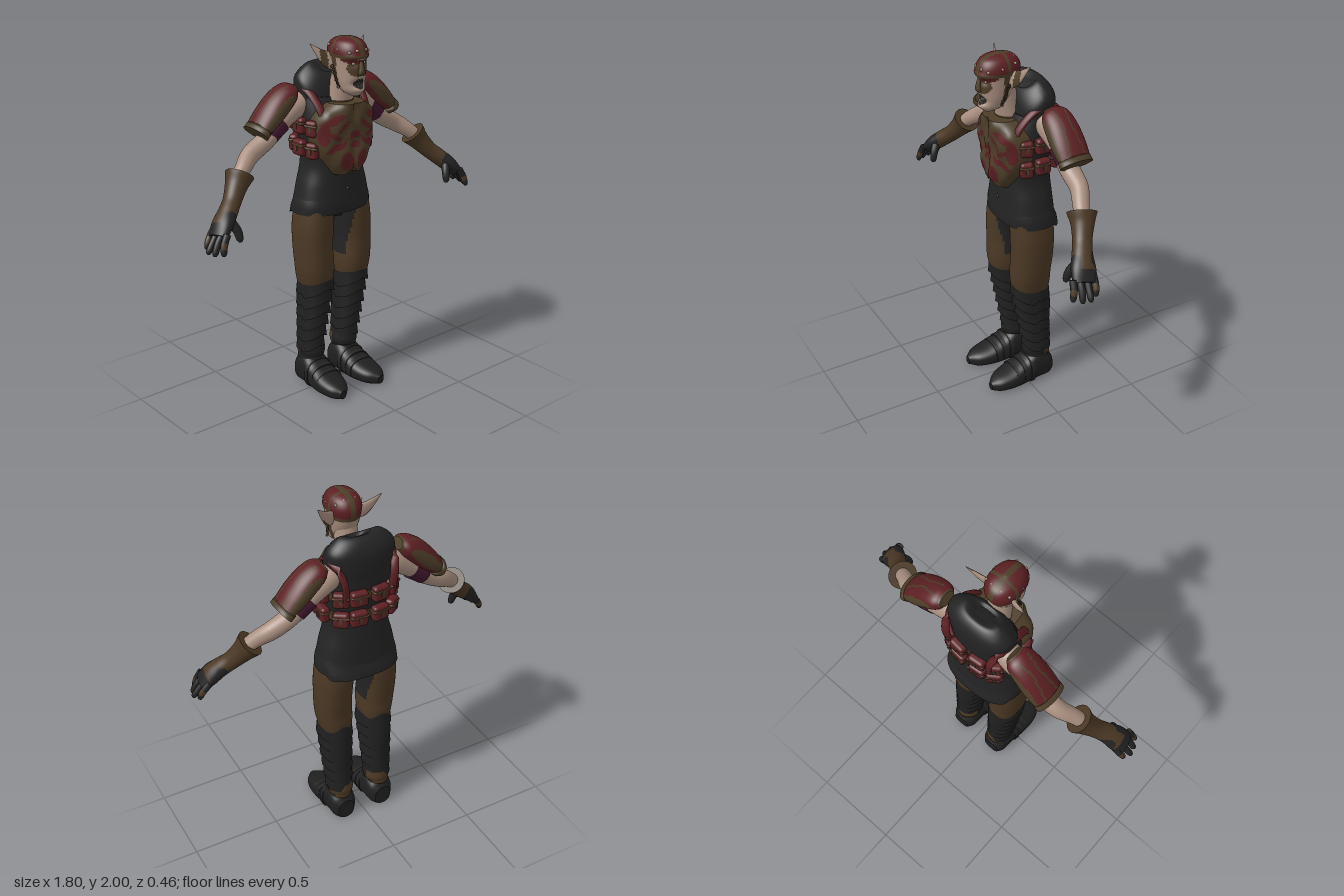
import * as THREE from 'three';
import { RoundedBoxGeometry } from 'three/addons/geometries/RoundedBoxGeometry.js';

const mat = (name, color) => Object.assign(new THREE.MeshStandardMaterial({ color }), { name });

// Smooth body through rings [x, y, z, sideRadius, depthRadius]; paint(p, t) picks a material index per face.
function loft(rings, { n = 32, steps = 24, exp = 2, axis, ref = [0, 0, 1], warp, paint = () => 0 } = {}) {
  const path = new THREE.CatmullRomCurve3(rings.map(r => new THREE.Vector3(r[0], r[1], r[2])), false, 'catmullrom');
  const size = new THREE.CatmullRomCurve3(rings.map(r => new THREE.Vector3(r[3], r[4], 0)), false, 'catmullrom');
  const pts = [], groups = [];
  const sup = v => Math.sign(v) * Math.abs(v) ** (2 / exp);
  for (let i = 0; i <= steps; i++) {
    const t = i / steps, c = path.getPoint(t), s = size.getPoint(t);
    const T = axis ? new THREE.Vector3(...axis) : path.getTangent(t);
    const D = new THREE.Vector3(...ref);
    D.addScaledVector(T, -D.dot(T)).normalize();
    const S = new THREE.Vector3().crossVectors(T, D);
    for (let j = 0; j < n; j++) {
      const a = j / n * Math.PI * 2;
      const p = c.clone().addScaledVector(S, sup(Math.cos(a)) * s.x).addScaledVector(D, sup(Math.sin(a)) * s.y);
      if (warp) warp(p, t);
      pts.push(p);
    }
  }
  const face = (t, ...ids) => {
    const mid = ids.reduce((m, k) => m.add(pts[k]), new THREE.Vector3()).divideScalar(ids.length);
    const list = groups[paint(mid, t)] ??= [];
    for (let k = 2; k < ids.length; k++) list.push(ids[0], ids[k - 1], ids[k]);
  };
  for (let i = 0; i < steps; i++) for (let j = 0; j < n; j++) {
    const a = i * n + j, b = i * n + (j + 1) % n;
    face((i + 0.5) / steps, a, a + n, b + n, b);
  }
  // end caps with their own rim, so that edges stay crisp
  for (const i of [0, steps]) {
    const rim = pts.slice(i * n, i * n + n), k = pts.length;
    const mid = rim.reduce((m, p) => m.add(p), new THREE.Vector3()).divideScalar(n);
    pts.push(...rim.map(p => p.clone()), mid);
    for (let j = 0; j < n; j++) {
      const q = (j + 1) % n;
      if (i) face(1, k + n, k + q, k + j); else face(0, k + n, k + j, k + q);
    }
  }
  const geo = new THREE.BufferGeometry().setFromPoints(pts);
  const index = [];
  groups.forEach((list, m) => { geo.addGroup(index.length, list.length, m); for (const v of list) index.push(v); });
  geo.setIndex(index);
  geo.computeVertexNormals();
  return geo;
}

// Mirrored copy across x = 0
function mirrored(geo) {
  const g = geo.clone();
  for (const key of ['position', 'normal']) {
    const at = g.attributes[key];
    for (let i = 0; i < at.count; i++) at.setX(i, -at.getX(i));
  }
  if (!g.index) g.setIndex([...Array(g.attributes.position.count).keys()]);
  const ix = g.index.array;
  for (let i = 0; i < ix.length; i += 3) [ix[i + 1], ix[i + 2]] = [ix[i + 2], ix[i + 1]];
  return g;
}

export function createModel() {
  const root = new THREE.Group();
  root.name = 'armouredFighter';
  const black = mat('blackCloth', 0x232323), boot = mat('bootLeather', 0x1f1f20);
  const brown = mat('brownLeather', 0x4b3824), trim = mat('bronzeTrim', 0x4d3d28);
  const red = mat('redArmour', 0x5c2023), skin = mat('skin', 0xa98f80);
  const purple = mat('purpleBand', 0x42172f), bone = mat('bone', 0xa8957c);
  const add = (name, geo, m) => {
    const mesh = new THREE.Mesh(geo, m);
    mesh.name = name;
    root.add(mesh);
  };
  const pair = (name, geo, m) => { add(name + 'Left', geo, m); add(name + 'Right', mirrored(geo), m); };
  const Y = [0, 1, 0];
  // inside a tilted ellipse
  const oval = (x, y, cx, cy, rx, ry, a = 0) => {
    const c = Math.cos(a), s = Math.sin(a), dx = x - cx, dy = y - cy;
    return ((dx * c + dy * s) / rx) ** 2 + ((dy * c - dx * s) / ry) ** 2 < 1;
  };

  // Shirt, skirt hem and hood
  add('skirt', loft([[0, 1.045, -.05, .232, .15], [0, 1.1, -.045, .226, .145], [0, 1.18, -.045, .2, .135]],
    { axis: Y, exp: 2.5, n: 48, steps: 8, warp: p => { if (p.z < -.12 && p.y < 1.1) { p.y -= .02; p.z -= .012; } } }), black);
  add('shirt', loft([[0, 1.13, -.045, .218, .148], [0, 1.2, -.045, .203, .14], [0, 1.3, -.045, .176, .135],
    [0, 1.4, -.04, .178, .135], [0, 1.5, -.045, .19, .138], [0, 1.6, -.06, .19, .13], [0, 1.68, -.075, .185, .115]],
    { axis: Y, exp: 2.4, n: 48, steps: 36, warp: (p, t) => { if (t < .17) p.y -= (1 - t / .17) * .035 * (1 - Math.abs(p.x) / .22); } }), black);
  add('hood', loft([[0, 1.62, -.075, .185, .115], [0, 1.7, -.08, .19, .115], [0, 1.77, -.08, .19, .11],
    [0, 1.82, -.075, .15, .09], [0, 1.845, -.07, .1, .06], [0, 1.82, -.06, .05, .03]],
    { axis: Y, exp: 2.4, n: 48, steps: 30, warp: p => { p.y -= Math.max(0, p.z + .08) * .7; } }), black);
  add('shirtButton', new THREE.SphereGeometry(.008, 10, 8).translate(0, 1.18, .098), brown);

  // Breastplate with red inlays
  const inlays = [[.05, 1.35, .036, .055, -.2], [.018, 1.49, .016, .022, .5], [.012, 1.435, .014, .022, .5],
    [.125, 1.575, .06, .02, -.45], [.075, 1.535, .05, .012, -.7], [.12, 1.49, .045, .013, .5],
    [.12, 1.425, .042, .018, -.6], [.165, 1.5, .022, .06, 0], [.07, 1.445, .034, .01, -.9]];
  add('breastplate', loft([[0, 1.27, .05, .09, .09], [0, 1.32, .045, .122, .112], [0, 1.39, .04, .165, .12],
    [0, 1.46, .035, .188, .118], [0, 1.55, .04, .19, .12], [0, 1.61, .05, .16, .11], [0, 1.655, .06, .1, .1]],
    { axis: Y, exp: 2.5, n: 120, steps: 80,
      warp: (p, t) => {
        if (t < .3) p.y += (1 - t / .3) * Math.max(0, .045 - Math.abs(p.x)) * .9;
        if (p.z > .08) p.z += .008 * Math.cos(p.x * 55) * Math.sin((p.y - 1.25) * 30) - .01 * (Math.abs(p.x) < .008);
      },
      paint: p => inlays.some(i => oval(Math.abs(p.x), p.y, ...i)) ? 1 : 0 }), [trim, red]);
  pair('shoulderStrap', loft([[.14, 1.52, .1, .022, .01], [.155, 1.63, .055, .022, .012], [.168, 1.715, -.03, .022, .012],
    [.168, 1.725, -.13, .022, .012], [.145, 1.64, -.195, .022, .012], [.13, 1.5, -.19, .022, .01]],
    { n: 12, steps: 30, ref: [.3, .7, .65] }), red);

  // Belts and pouches round the back and sides
  for (const y of [1.41, 1.53]) {
    add('belt', loft([[0, y - .022, -.042, .193, .143], [0, y + .022, -.042, .196, .145]], { axis: Y, exp: 2.4, n: 48, steps: 2 }), trim);
    for (const [x, z, turn, w] of [[.062, -.195, .1, .095], [.15, -.165, .6, .085], [.2, -.06, 1.57, .085], [.188, .03, 1.9, .07]]) {
      const place = g => g.rotateY(-turn + Math.PI).translate(x, y + (z > 0 ? -.005 : 0), z);
      pair('pouch', place(new RoundedBoxGeometry(w, .088, .05, 3, .018)), red);
      pair('pouchFlap', place(new RoundedBoxGeometry(w + .006, .014, .054, 2, .006).translate(0, .016, 0)), trim);
      pair('pouchBuckle', place(new THREE.BoxGeometry(.014, .03, .058)), trim);
    }
  }

  // Neck and head
  add('neck', loft([[0, 1.58, .02, .08, .07], [0, 1.68, .035, .068, .07], [0, 1.8, .06, .062, .065], [0, 1.86, .07, .06, .07]],
    { axis: Y, steps: 28, paint: p => p.y < 1.67 && p.z > 0 ? 1 : 0 }), [skin, brown]);
  const facePaint = p => {
    const x = Math.abs(p.x), { y, z } = p;
    if (y > 1.9 - (z < .05 ? .03 : 0)) {
      if (x < .016 || y < (z < .05 ? 1.885 : 1.912) || Math.abs(z - .07) < .008) return 2;
      return 1;
    }
    if (z > .12 && oval(x, y, 0, 1.766, .036, .026)) return 3;
    if (z > .11 && oval(x, y, .045, 1.885, .04, .014, .25)) return 1;
    if (z > .12 && oval(x, y, .02, 1.85, .046, .045)) return 2;
    if (Math.abs(z - .085) < .014 && y > 1.73) return 2;
    return 0;
  };
  add('head', loft([[0, 1.7, .145, .025, .03], [0, 1.725, .13, .056, .06], [0, 1.77, .115, .072, .08], [0, 1.82, .1, .079, .1],
    [0, 1.88, .09, .085, .112], [0, 1.93, .09, .09, .118], [0, 1.97, .09, .074, .097], [0, 1.99, .09, .046, .06], [0, 2, .09, .004, .005]],
    { axis: Y, n: 80, steps: 72, exp: 2.15, paint: facePaint,
      warp: p => { // eye sockets, brow and open mouth
        const x = Math.abs(p.x);
        if (p.z < .12) return;
        p.z -= .014 * Math.exp(-(((x - .036) / .02) ** 2) - ((p.y - 1.87) / .016) ** 2);
        p.z += .01 * Math.exp(-(((p.y - 1.905) / .014) ** 2));
        p.z -= .03 * Math.exp(-((x / .035) ** 2) - ((p.y - 1.766) / .018) ** 2);
        p.z += .014 * Math.exp(-((x / .04) ** 2) - ((p.y - 1.732) / .016) ** 2);
      } }), [skin, red, trim, black]);
  add('nose', loft([[0, 1.885, .19, .012, .014], [0, 1.85, .2, .015, .016], [0, 1.822, .202, .021, .016], [0, 1.81, .195, .014, .01]],
    { axis: [0, -1, 0], n: 16, steps: 12 }), trim);
  for (const x of [.008, .022]) {
    pair('lowerTooth', new THREE.ConeGeometry(.005, x > .01 ? .026 : .015, 8).translate(x, 1.757, .192 - x * .5), bone);
    pair('upperTooth', new THREE.ConeGeometry(.005, .015, 8).rotateX(Math.PI).translate(x, 1.782, .19 - x * .5), bone);
  }
  pair('eye', new THREE.SphereGeometry(.009, 12, 8).translate(.036, 1.872, .178), bone);
  pair('ear', loft([[.07, 1.865, .06, .04, .016], [.1, 1.885, .045, .04, .013], [.14, 1.92, .03, .022, .009], [.182, 1.967, .01, .002, .002]],
    { n: 16, steps: 16, paint: p => p.z > .045 - (p.x - .1) * .45 && p.x > .1 && p.x < .14 ? 1 : 0 }), [skin, trim]);
  for (const [x, y, z] of [[.03, 1.94, .2], [.062, 1.93, .178], [.045, 1.975, .13], [.082, 1.94, .11], [.072, 1.955, .03], [.03, 1.975, .02]])
    pair('capStud', new THREE.SphereGeometry(.008, 10, 8).translate(x, y, z), bone);
  for (let i = 0; i < 7; i++)
    pair('cheekChain', new THREE.TorusGeometry(.008, .0025, 5, 10).rotateY(i % 2 ? 1.5 : .3).translate(.09 - i * .002, 1.85 - i * .017, .075 + i * .006), trim);

  // Arms with bands and shoulder pads
  pair('arm', loft([[.14, 1.65, -.09, .06, .06], [.2, 1.63, -.095, .068, .068], [.3, 1.56, -.1, .056, .058], [.4, 1.475, -.095, .05, .054],
    [.5, 1.42, -.088, .05, .048], [.58, 1.365, -.05, .042, .042], [.66, 1.29, -.015, .034, .036]], { steps: 30 }), skin);
  pair('armBand', loft([[.3, 1.555, -.1, .06, .061], [.34, 1.525, -.1, .058, .06], [.375, 1.495, -.1, .055, .058]], { steps: 6 }), purple);
  pair('shoulderPad', loft([[.215, 1.725, -.1, .03, .05], [.25, 1.705, -.1, .056, .078], [.31, 1.66, -.1, .066, .09],
    [.38, 1.595, -.1, .062, .094], [.45, 1.53, -.1, .045, .086]],
    { n: 64, steps: 48, paint: (p, t) => {
      const z = Math.abs(p.z + .1);
      return t < .06 || t > .93 || z > .08 || (t > .2 && Math.abs(z - .022 - .05 * Math.abs(t - .5)) < .005) ? 1 : 0;
    } }), [red, trim]);
  pair('padRim', loft([[.43, 1.545, -.1, .054, .092], [.455, 1.522, -.1, .053, .094]], { steps: 3 }), trim);

  // Gloves
  pair('glove', loft([[.605, 1.345, -.04, .074, .078], [.64, 1.3, -.022, .058, .06], [.69, 1.24, .01, .047, .05], [.74, 1.195, .04, .046, .054],
    [.79, 1.15, .065, .043, .066], [.835, 1.1, .085, .03, .062]],
    { n: 40, steps: 40, paint: (p, t) => t > .82 || oval(p.x, p.y, .77, 1.17, .055, .04, -.8) ? 1 : 0 }), [brown, black]);
  [[.868, 1.03, .04, .025], [.885, 1.022, .08, .065], [.875, 1.02, .12, .105], [.85, 1.025, .158, .14]].forEach(([x, y, z, z0], i) =>
    pair('finger', loft([[.815, 1.125, z0, .02, .019], [.852 - (i > 2) * .012, 1.08, (z + z0) / 2, .019, .018],
      [x, y + .015, z, .016, .015], [x, y, z, .007, .007]],
    { n: 14, steps: 14, paint: (p, t) => i % 3 === 0 && t > .25 && t < .5 ? 1 : 0 }), [black, brown]));
  pair('thumb', loft([[.76, 1.17, .08, .026, .026], [.735, 1.12, .11, .023, .022], [.728, 1.075, .122, .018, .018], [.728, 1.06, .124, .008, .008]],
    { n: 14, steps: 14 }), black);

  // Trousers
  pair('trouserLeg', loft([[.118, 1.1, -.04, .1, .115], [.132, .97, -.04, .103, .12], [.137, .85, -.037, .1, .116],
    [.132, .74, -.03, .1, .112], [.128, .68, -.032, .096, .11], [.126, .63, -.035, .088, .102]],
    { axis: [0, -1, 0], exp: 2.3, n: 48, steps: 36,
      paint: p => p.x < .045 + .03 * Math.max(0, p.y - .8) / .2 && p.y > .76 ? 1 : 0 }), [brown, black]);
  add('crotch', loft([[0, 1.0, -.04, .04, .07], [0, 1.1, -.04, .1, .11]], { axis: Y, steps: 3 }), black);

  // Boot shafts with overlapping scalloped plates
  pair('bootShaft', loft([[.125, .15, -.085, .064, .076], [.12, .22, -.085, .064, .076], [.122, .35, -.075, .068, .08],
    [.125, .5, -.058, .082, .098], [.125, .67, -.035, .088, .105]],
    { axis: Y, steps: 40, n: 40, paint: p => (p.y < .24 && p.z < -.11 + .02 * Math.sin(p.x * 60)) || (p.y < .165 && p.z > -.03) ? 1 : 0 }), [boot, brown]);
  for (let i = 0; i < 6; i++) {
    const y = .625 - i * .073, k = i / 5, z = -.032 - .045 * k, a = .098 - .023 * k, b = .112 - .027 * k;
    pair('greavePlate', loft([[.125, y - .05, z, a, b], [.125, y, z, a - .005, b - .005], [.125, y + .06, z + .006, a - .012, b - .012]],
      { axis: Y, exp: 2.2, n: 40, steps: 6, warp: p => {
        p.y += .22 * (p.z - z) - (p.z > z ? .35 : .1) * Math.abs(p.x - .125) + .012;
      } }), boot);
  }
  pair('ankleCuff', loft([[.12, .17, -.08, .07, .08], [.12, .2, -.08, .074, .086], [.12, .235, -.08, .068, .08]],
    { axis: Y, steps: 10, paint: p => p.z < -.09 ? 1 : 0 }), [boot, brown]);

  // Shoes
  pair('shoe', loft([[.122, .06, -.166, .05, .06], [.122, .075, -.13, .074, .085], [.122, .085, -.06, .08, .098], [.124, .06, .02, .086, .075],
    [.128, .045, .1, .086, .056], [.134, .035, .18, .064, .042], [.14, .028, .23, .02, .024]],
    { axis: [0, 0, 1], ref: Y, exp: 2.5, n: 40, steps: 40, warp: p => { p.y = Math.max(0, p.y); } }), boot);
  for (let i = 0; i < 3; i++)
    pair('shoeStrap', loft([[.123, .07 - i * .008, -.03 + i * .045, .088, .09 - i * .014], [.124, .068 - i * .008, -.005 + i * .045, .089, .086 - i * .014]],
      { axis: [0, 0, 1], ref: Y, exp: 2.5, steps: 2, warp: p => { p.y = Math.max(0.002, p.y); } }), black);
  return root;
}
